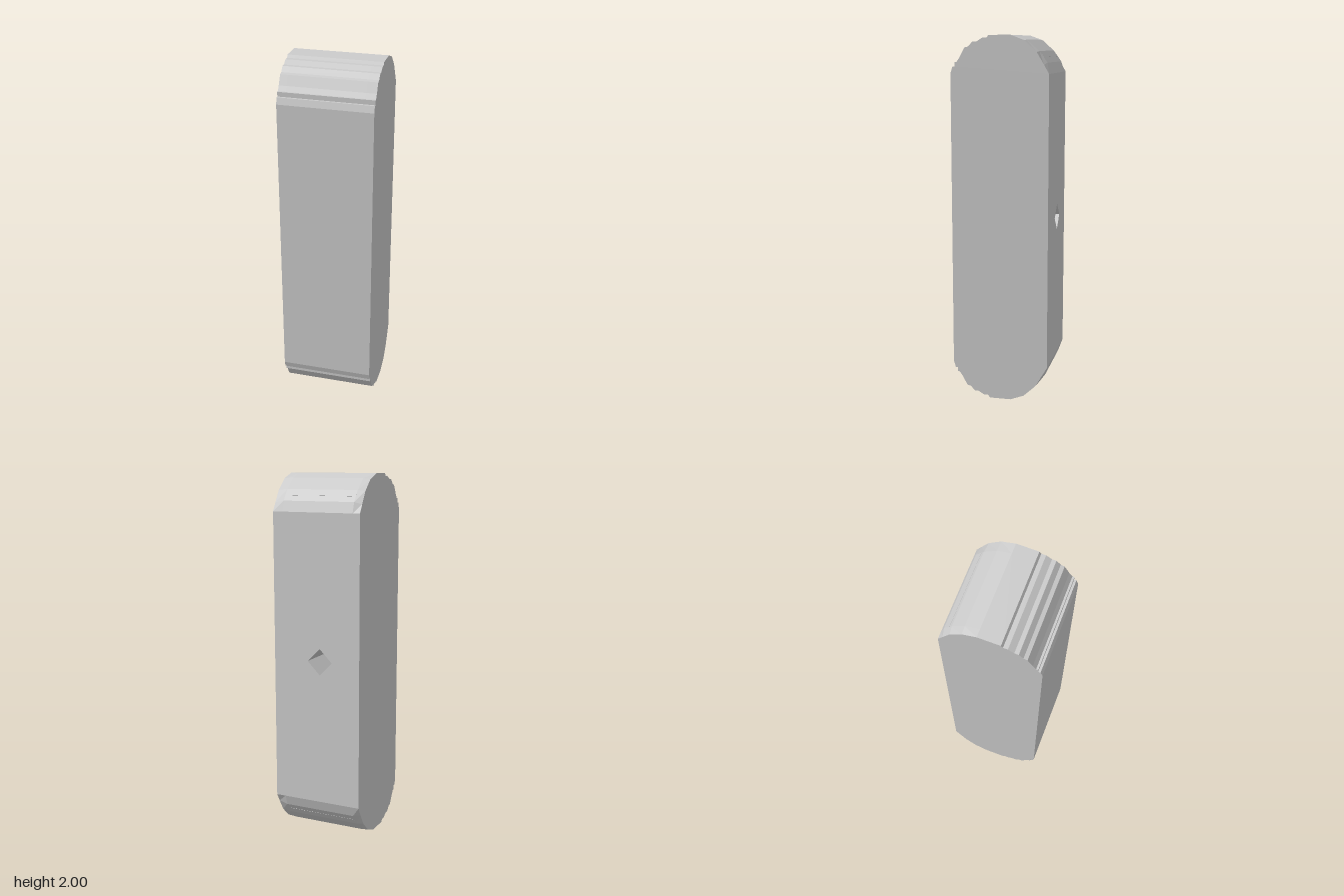
import * as THREE from 'three';

const W = 0.255, D = 0.266;          // half width (x) and half depth (z)
const LOW = 0.2, HIGH = 1.8;         // limits of the straight sides
const COLUMNS = [-W, -0.213, 0.2, W];

// Rounded end from front to back: [z, y, z and y of the bulge between the side margins]
const END = [
  [D, HIGH], [0.255, 1.835], [0.243, 1.835], [0.243, 1.86], [0.232, 1.86],
  [0.215, 1.885], [0.188, 1.935], [0.168, 1.94], [0.145, 1.966], [0.123, 1.966],
  [0.092, 1.985], [0.068, 1.985], [0.058, 2], [-0.06, 2],
  [-0.135, 1.972, -0.135, 1.976], [-0.2, 1.912, -0.203, 1.917],
  [-0.239, 1.847, -0.247, 1.857], [-D, HIGH],
];

export function createModel() {
  const group = new THREE.Group();
  const mat = new THREE.MeshStandardMaterial({ color: 0xcccccc, flatShading: true });
  const inner = mat.clone();
  inner.side = THREE.BackSide;
  const add = (name, geometry, material = mat) => {
    const mesh = new THREE.Mesh(geometry, material);
    mesh.name = name;
    group.add(mesh);
    return mesh;
  };

  // Outline runs from the back bottom edge, under, up the front and over the top
  const flipped = END.map(([z, y, mz, my]) => (mz === undefined ? [z, 2 - y] : [z, 2 - y, mz, 2 - my]));
  const outline = [...flipped.reverse(), ...END];

  // Wrapped shell, with the back corners bulging between the margins
  const positions = [], index = [], n = COLUMNS.length;
  outline.forEach(([z, y, mz = z, my = y], i) => {
    COLUMNS.forEach((x, c) => {
      const middle = c === 1 || c === 2;
      positions.push(x, middle ? my : y, middle ? mz : z);
      if (i < outline.length - 1 && c < n - 1) {
        const a = i * n + c;
        index.push(a, a + 1, a + n + 1, a, a + n + 1, a + n);
      }
    });
  });
  const shell = new THREE.BufferGeometry();
  shell.setAttribute('position', new THREE.Float32BufferAttribute(positions, 3));
  shell.setIndex(index);
  const flat = shell.toNonIndexed();
  flat.computeVertexNormals();
  add('bodyShell', flat);

  // Flat side walls
  for (const s of [1, -1]) {
    const shape = new THREE.Shape(outline.map(([z, y]) => new THREE.Vector2(-s * z, y)));
    const side = add(s > 0 ? 'leftSide' : 'rightSide', new THREE.ShapeGeometry(shape));
    side.rotation.y = s * Math.PI / 2;
    side.position.x = s * W;
  }

  // Back wall with a diamond socket
  const hx = -0.02, r = 0.073, depth = 0.2;
  const wall = new THREE.Shape([[-W, LOW], [W, LOW], [W, HIGH], [-W, HIGH]].map(p => new THREE.Vector2(...p)));
  wall.holes.push(new THREE.Path([[0, r], [r, 0], [0, -r], [-r, 0]].map(([x, y]) => new THREE.Vector2(x - hx, y + 1))));
  const back = add('backWall', new THREE.ShapeGeometry(wall));
  back.rotation.y = Math.PI;
  back.position.z = -D;

  const socket = add('socketWalls', new THREE.CylinderGeometry(r, r, depth, 4, 1, true).rotateX(Math.PI / 2), inner);
  socket.position.set(hx, 1, -D + depth / 2);
  const floor = add('socketFloor', new THREE.CircleGeometry(r, 4).rotateY(Math.PI));
  floor.position.set(hx, 1, -D + depth);

  // Thin ribs across the back of both rounded ends
  for (const s of [1, -1]) {
    const rib = add(s > 0 ? 'upperRib' : 'lowerRib', new THREE.BoxGeometry(0.413, 0.018, 0.006));
    rib.position.set(-0.0065, 1 + s * 0.891, -0.2195);
    rib.rotation.x = s * 0.63;
  }
  return group;
}
